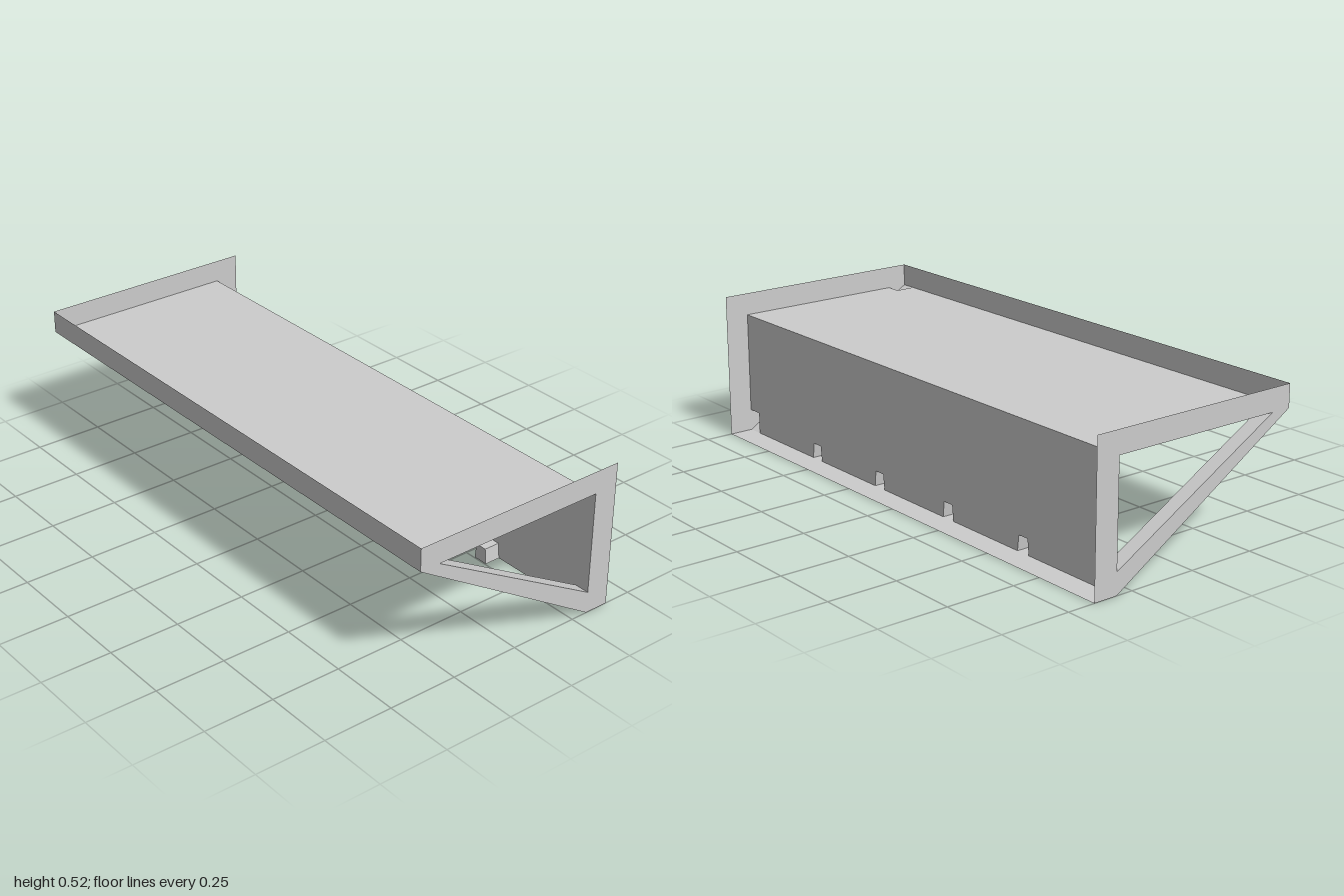
import * as THREE from 'three';

// Hollow wall shelf: a thin shell, open at the top and back, with two triangular brackets.
const Y_TOP = 0.52, Y_FLOOR = 0.44, Z_FRONT = 0.4, Z_BACK = -0.4, Z_WALL = -0.312;
const X_IN = 0.945;                  // inner side of the diagonal braces
const Z_SLOT = 0.327, Y_SLOT = 0.077; // where the braces open into the shell
const PEG_X = [-0.57, -0.19, 0.19, 0.565];
const PEG = [[-0.027, 0], [-0.021, 0.055], [0.021, 0.055], [0.027, 0]];
const Z_PEG = -0.253;

export function createModel() {
  const group = new THREE.Group();
  const grey = new THREE.MeshStandardMaterial({ color: 0xcccccc, side: THREE.DoubleSide });
  grey.name = 'light grey';

  // Flat sheet drawn in (u, v) and placed in space by a rule
  const toPoints = (list) => list.map(([u, v]) => new THREE.Vector2(u, v));
  function sheet(name, outline, place, holes = [], parent = group) {
    const shape = new THREE.Shape(toPoints(outline));
    holes.forEach((h) => shape.holes.push(new THREE.Path(toPoints(h))));
    const geo = new THREE.ShapeGeometry(shape);
    const p = geo.attributes.position;
    for (let i = 0; i < p.count; i++) p.setXYZ(i, ...place(p.getX(i), p.getY(i)));
    geo.computeVertexNormals();
    const mesh = new THREE.Mesh(geo, grey);
    mesh.name = name;
    parent.add(mesh);
  }
  // Rectangle spanning x0..x1 between two (z, y) points
  function strip(name, x0, x1, [za, ya], [zb, yb], parent = group) {
    sheet(name, [[x0, 0], [x1, 0], [x1, 1], [x0, 1]],
      (u, t) => [u, ya + (yb - ya) * t, za + (zb - za) * t], [], parent);
  }

  // Shelf board with corner slots above the braces
  sheet('shelfBoard', [[-1, Z_WALL], [1, Z_WALL], [1, Z_SLOT], [X_IN, Z_SLOT], [X_IN, Z_FRONT],
    [-X_IN, Z_FRONT], [-X_IN, Z_SLOT], [-1, Z_SLOT]], (u, v) => [u, Y_FLOOR, v]);

  // Back wall with corner slots and peg openings along its lower edge
  const lowerEdge = PEG_X.flatMap((x) => PEG.map(([u, v]) => [x + u, v]));
  sheet('backWall', [[-1, Y_FLOOR], [-1, Y_SLOT], [-X_IN, Y_SLOT], [-X_IN, 0], ...lowerEdge,
    [X_IN, 0], [X_IN, Y_SLOT], [1, Y_SLOT], [1, Y_FLOOR]], (u, v) => [u, v, Z_WALL]);

  // Front and bottom rims
  strip('frontRim', -1, 1, [Z_FRONT, Y_FLOOR], [Z_FRONT, Y_TOP]);
  strip('bottomRim', -1, 1, [Z_BACK, 0], [Z_WALL, 0]);

  // Triangular side brackets with hollow diagonal braces
  for (const s of [-1, 1]) {
    const bracket = new THREE.Group();
    bracket.name = s > 0 ? 'leftBracket' : 'rightBracket';
    group.add(bracket);
    sheet('sideFrame', [[Z_FRONT, Y_TOP], [Z_BACK, Y_TOP], [Z_BACK, 0], [Z_WALL, 0], [Z_FRONT, Y_FLOOR]],
      (z, y) => [s, y, z], [[[Z_SLOT, Y_FLOOR], [Z_WALL, Y_FLOOR], [Z_WALL, Y_SLOT]]], bracket);
    sheet('braceInnerSide', [[Z_FRONT, Y_FLOOR], [Z_SLOT, Y_FLOOR], [Z_WALL, Y_SLOT], [Z_WALL, 0]],
      (z, y) => [s * X_IN, y, z], [], bracket);
    strip('braceUnderside', s * X_IN, s, [Z_FRONT, Y_FLOOR], [Z_WALL, 0], bracket);
    strip('braceUpperSide', s * X_IN, s, [Z_SLOT, Y_FLOOR], [Z_WALL, Y_SLOT], bracket);
  }

  // Small hollow pegs in front of the wall openings
  PEG_X.forEach((x) => {
    const peg = new THREE.Group();
    peg.name = 'peg';
    peg.position.x = x;
    group.add(peg);
    sheet('pegFront', PEG, (u, v) => [u, v, Z_PEG], [], peg);
    PEG.forEach(([ua, va], i) => {
      const [ub, vb] = PEG[(i + 1) % PEG.length];
      sheet('pegSide', [[0, 0], [1, 0], [1, 1], [0, 1]],
        (t, w) => [ua + (ub - ua) * t, va + (vb - va) * t, Z_WALL + (Z_PEG - Z_WALL) * w], [], peg);
    });
  });
  return group;
}
